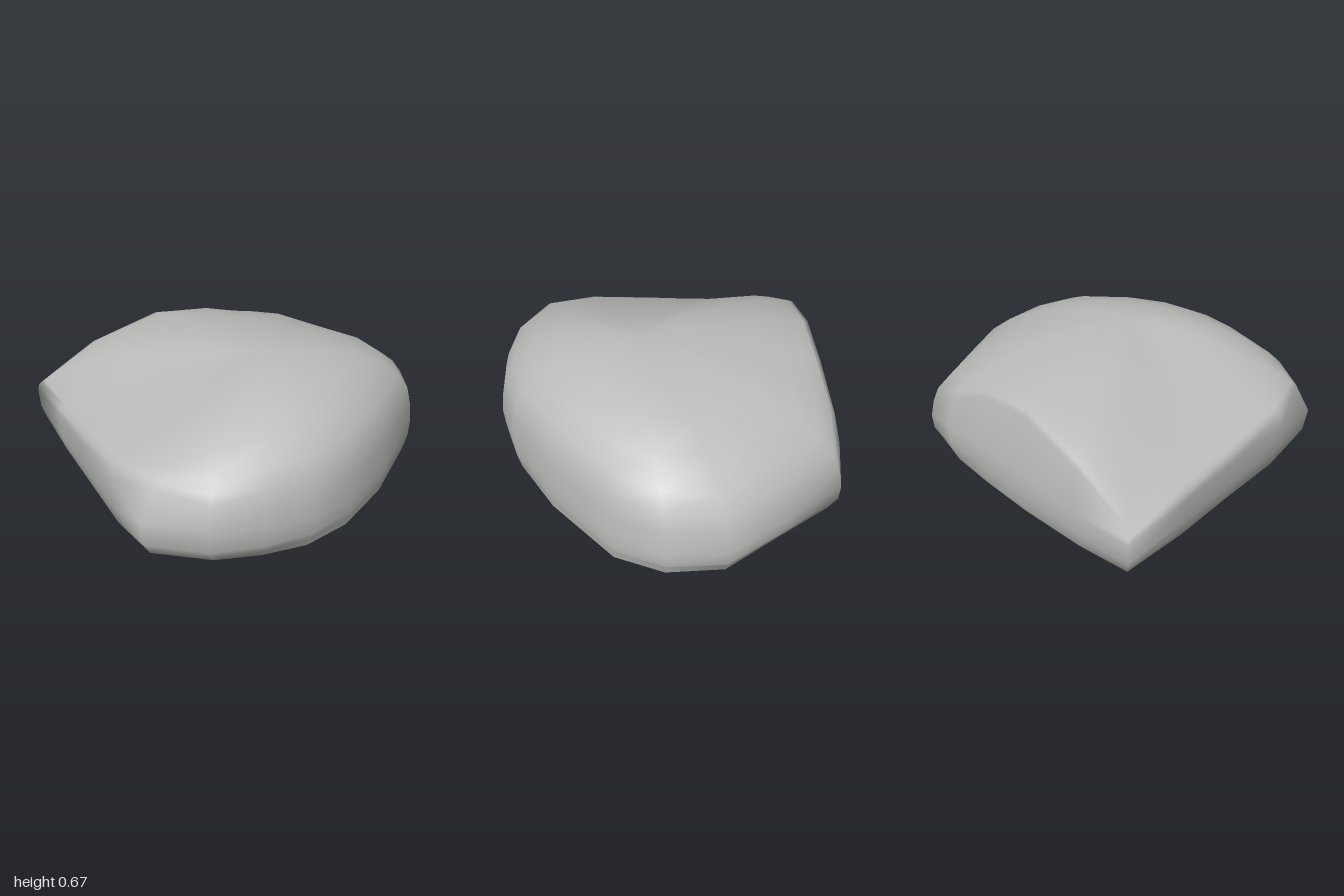
import * as THREE from 'three';
import { mergeVertices } from 'three/addons/utils/BufferGeometryUtils.js';

// Plan outline of the boulder: x, z, height of its widest line,
// inset and height of the crest above it, roundness from crest to apex, inset at the ground
const outline = [
  [-0.95, 0.27, 0.21, 0.01, 0.245, 0.2, 0.07],
  [-0.80, 0.00, 0.22, 0.04, 0.44, 0.2, 0.04],
  [-0.60, -0.33, 0.25, 0.06, 0.55, 0.2, 0.03],
  [-0.42, -0.60, 0.25, 0.06, 0.515, 0.3, 0.03],
  [-0.26, -0.83, 0.22, 0.04, 0.39, 0.5, 0.04],
  [-0.09, -1.00, 0.16, 0.02, 0.25, 0.65, 0.05],
  [0.25, -0.985, 0.15, 0.02, 0.24, 0.6, 0.05],
  [0.57, -0.96, 0.14, 0.02, 0.23, 0.6, 0.04],
  [0.79, -0.79, 0.14, 0.02, 0.25, 0.7, 0.03],
  [0.91, -0.56, 0.15, 0.015, 0.27, 0.85, 0.02],
  [0.94, -0.10, 0.15, 0.01, 0.28, 1.0, 0.01],
  [0.915, 0.25, 0.16, 0.01, 0.28, 0.95, 0.02],
  [0.835, 0.50, 0.18, 0.015, 0.28, 0.85, 0.04],
  [0.70, 0.70, 0.20, 0.02, 0.30, 0.7, 0.07],
  [0.53, 0.885, 0.23, 0.04, 0.34, 0.45, 0.11],
  [0.26, 1.00, 0.25, 0.08, 0.395, 0.1, 0.14],
  [0.00, 0.87, 0.31, 0.02, 0.375, 0.0, 0.08],
  [-0.30, 0.68, 0.29, 0.01, 0.335, 0.0, 0.06],
  [-0.62, 0.48, 0.25, 0.01, 0.29, 0.05, 0.05],
];
const apex = new THREE.Vector3(0.3, 0.665, 0);
const shoulderSteps = [1, 0.97, 0.9, 0.78, 0.6, 0.4, 0.2, 0];

// One vertical section, from the ground over the widest line and the crest to the apex
function section([x, z, wide, crestInset, crest, round, baseInset]) {
  const reach = Math.hypot(x - apex.x, z - apex.z);
  const at = (inset, y) => {
    const s = 1 - inset / reach;
    return [apex.x + (x - apex.x) * s, y, apex.z + (z - apex.z) * s];
  };
  const side = [
    at(baseInset, 0),
    at(baseInset * 0.45, 0.05),
    at(baseInset * 0.12, wide * 0.5),
    at(0, wide),
  ];
  const top = shoulderSteps.map((s) => {
    const rise = Math.pow(1 - Math.pow(s, 1.5 + round), 1 / (1 + round));
    return at(reach - (reach - crestInset) * s, crest + (apex.y - crest) * rise);
  });
  return [...side, ...top];
}

function geometryFrom(points, index) {
  const geometry = new THREE.BufferGeometry();
  geometry.setAttribute('position', new THREE.Float32BufferAttribute(points.flat(), 3));
  geometry.setIndex(index);
  const merged = mergeVertices(geometry, 1e-5);
  merged.computeVertexNormals();
  return merged;
}

export function createModel() {
  const stone = new THREE.MeshStandardMaterial({ color: 0xbcbcba });
  stone.name = 'grey stone';
  const group = new THREE.Group();
  group.name = 'boulder';

  const sections = outline.map(section);
  const count = sections.length;
  const rows = sections[0].length;

  // Rounded sides and top
  const index = [];
  for (let i = 0; i < count; i++) {
    const n = (i + 1) % count;
    for (let j = 0; j < rows - 1; j++) {
      const a = i * rows + j;
      const b = n * rows + j;
      index.push(a, a + 1, b);
      if (j < rows - 2) index.push(b, a + 1, b + 1);
    }
  }
  const body = new THREE.Mesh(geometryFrom(sections.flat(), index), stone);
  body.name = 'boulderBody';
  group.add(body);

  // Flat underside
  const floor = [[apex.x, 0, apex.z], ...sections.map((s) => s[0])];
  const fan = [];
  for (let i = 0; i < count; i++) fan.push(0, i + 1, ((i + 1) % count) + 1);
  const base = new THREE.Mesh(geometryFrom(floor, fan), stone);
  base.name = 'flatBase';
  group.add(base);

  return group;
}
